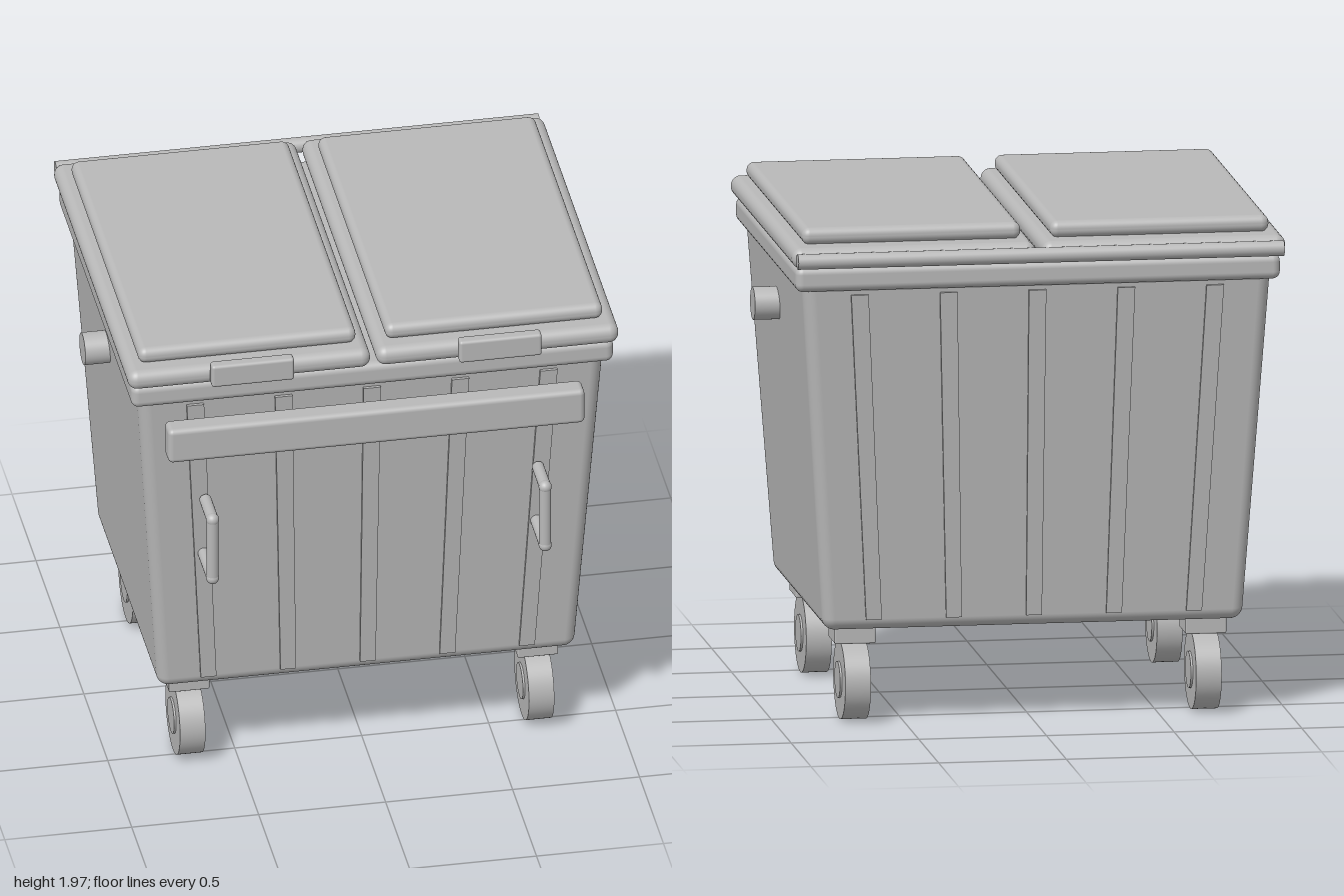
import * as THREE from 'three';
import { RoundedBoxGeometry } from 'three/addons/geometries/RoundedBoxGeometry.js';

const MID_Z = -0.03; // depth centre of the container
const BASE_Y = 0.4, HALF_X = 0.822, HALF_Z = 0.648;
const FLARE_X = 0.07 / HALF_X, FLARE_Z = 0.069 / HALF_Z;

// Widen a geometry with height, keeping its normals true
function flare(geometry) {
  const p = geometry.attributes.position, n = geometry.attributes.normal;
  const v = new THREE.Vector3();
  for (let i = 0; i < p.count; i++) {
    const x = p.getX(i), y = p.getY(i), z = p.getZ(i);
    const sx = 1 + FLARE_X * (y - BASE_Y), sz = 1 + FLARE_Z * (y - BASE_Y);
    p.setXYZ(i, x * sx, y, z * sz);
    const nx = n.getX(i) / sx, nz = n.getZ(i) / sz;
    v.set(nx, n.getY(i) - FLARE_X * x * nx - FLARE_Z * z * nz, nz).normalize();
    n.setXYZ(i, v.x, v.y, v.z);
  }
  return geometry;
}

export function createModel() {
  const model = new THREE.Group();
  model.name = 'wheeledContainer';
  const grey = new THREE.MeshStandardMaterial({ color: 0xb8b8b8 });
  grey.name = 'grey';

  function add(name, geometry, x = 0, y = 0, z = 0, parent = model) {
    const mesh = new THREE.Mesh(geometry, grey);
    mesh.name = name;
    mesh.position.set(x, y, z);
    parent.add(mesh);
    return mesh;
  }
  // Rounded box given by its extents
  function block(name, x0, x1, y0, y1, z0, z1, radius) {
    return add(name, new RoundedBoxGeometry(x1 - x0, y1 - y0, z1 - z0, 4, radius),
      (x0 + x1) / 2, (y0 + y1) / 2, (z0 + z1) / 2);
  }
  // Cylinder lying along x
  const axle = (radius, length, sides = 40) =>
    new THREE.CylinderGeometry(radius, radius, length, sides).rotateZ(Math.PI / 2);

  // Flared bin body
  const body = new RoundedBoxGeometry(HALF_X * 2, 1.42, HALF_Z * 2, 5, 0.045);
  body.translate(0, 0.374 + 0.71, 0);
  add('body', flare(body), 0, 0, MID_Z);

  // Stiffening ribs on front and back
  for (const side of [1, -1]) {
    for (let i = -2; i <= 2; i++) {
      const rib = new THREE.BoxGeometry(0.061, 1.297, 0.03);
      rib.translate(i * 0.313, 1.0665, side * (HALF_Z - 0.004));
      add(side > 0 ? 'frontRib' : 'backRib', flare(rib), 0, 0, MID_Z);
    }
  }

  // Rim and rear hinge bar
  block('rim', -0.949, 0.949, 1.733, 1.832, -0.802, 0.74, 0.03);
  add('hingeBar', axle(0.03, 1.904, 24), 0, 1.866, -0.853);

  // Front bumper
  block('bumper', -0.82, 0.82, 1.519, 1.668, 0.728, 0.82, 0.02);

  for (const s of [-1, 1]) {
    // Lid with raised panel and front grip
    const span = (a, b) => (s > 0 ? [a, b] : [-b, -a]);
    block('lid', ...span(0.012, 0.966), 1.83, 1.911, -0.834, 0.77, 0.038);
    block('lidPanel', ...span(0.058, 0.914), 1.908, 1.974, -0.738, 0.702, 0.03);
    block('lidGrip', ...span(0.325, 0.65), 1.848, 1.944, 0.773, 0.822, 0.012);

    // Lifting trunnion
    add('trunnion', axle(0.064, 0.16), s * 0.92, 1.552, MID_Z);

    // Front pull handle
    const handle = new THREE.Group();
    handle.name = 'pullHandle';
    handle.position.set(s * 0.655, 0, 0);
    model.add(handle);
    const tube = 0.0235, barZ = 0.859, yLow = 1.011, yHigh = 1.275;
    add('handleBar', new THREE.CylinderGeometry(tube, tube, yHigh - yLow, 20),
      0, (yLow + yHigh) / 2, barZ, handle);
    for (const [y, zIn] of [[yLow, 0.675], [yHigh, 0.708]]) {
      add('handleCorner', new THREE.SphereGeometry(0.0255, 20, 14), 0, y, barZ, handle);
      add('handleArm', new THREE.CylinderGeometry(tube, tube, barZ - zIn, 20).rotateX(Math.PI / 2),
        0, y, (barZ + zIn) / 2, handle);
    }

    // Casters
    for (const f of [-1, 1]) {
      const caster = new THREE.Group();
      caster.name = f > 0 ? 'frontCaster' : 'backCaster';
      caster.position.set(s * 0.687, 0, MID_Z + f * 0.4925);
      model.add(caster);
      add('mount', new RoundedBoxGeometry(0.16, 0.08, 0.162, 2, 0.006), 0, 0.348, 0, caster);
      add('wheel', axle(0.154, 0.1, 48), 0, 0.155, 0, caster);
      add('hub', axle(0.072, 0.116, 32), 0, 0.155, 0, caster);
    }
  }
  return model;
}
